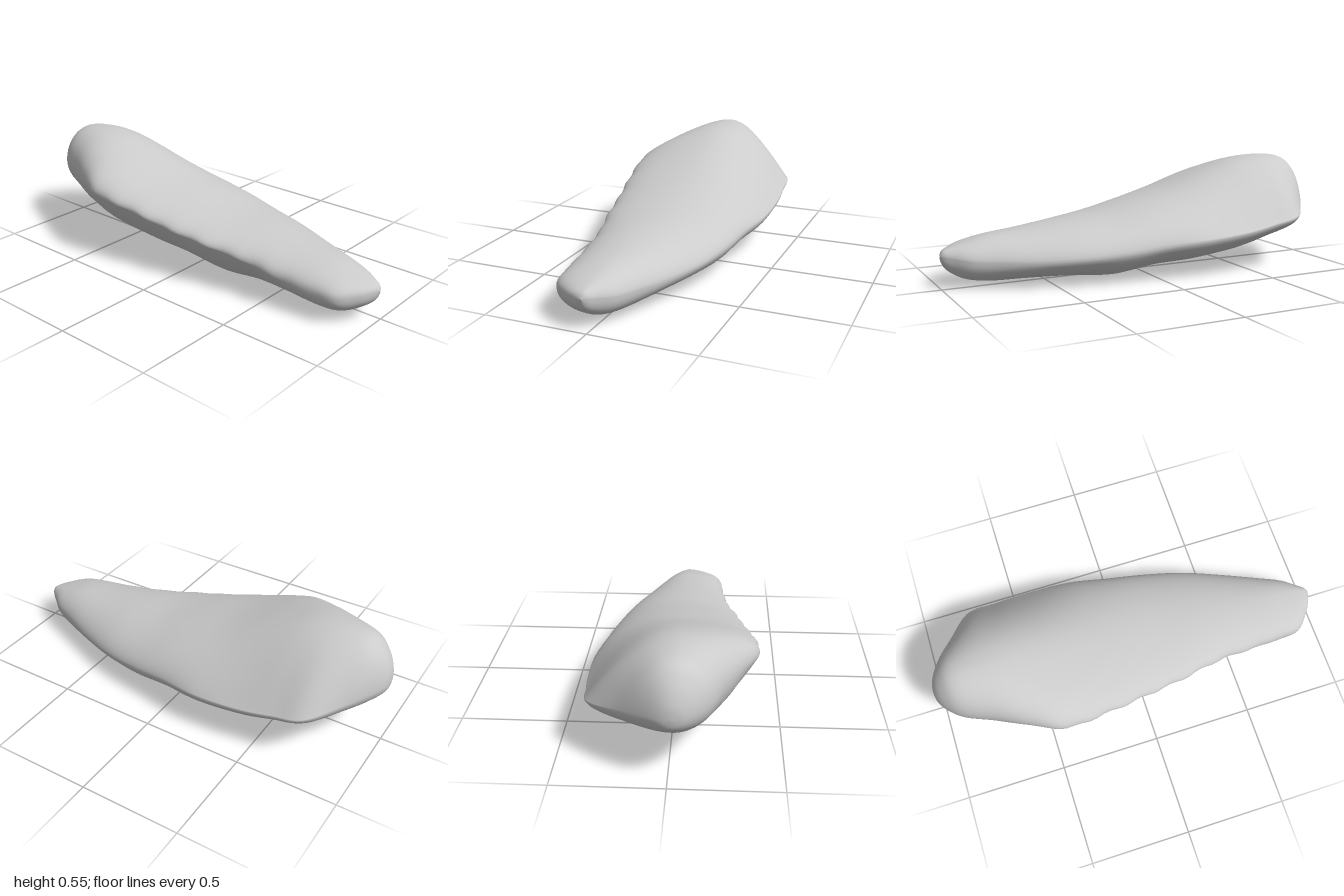
import * as THREE from 'three';

const { lerp, clamp, smoothstep } = THREE.MathUtils;

// Stations along the body: x, top y, bottom y, front z, back z, front rim y, back rim y
const STATIONS = [
  [-1.0, 0.335, 0.335, 0.02, 0.02, 0.335, 0.335],
  [-0.99, 0.4, 0.288, 0.075, -0.035, 0.34, 0.33],
  [-0.95, 0.48, 0.248, 0.135, -0.11, 0.35, 0.32],
  [-0.88, 0.54, 0.21, 0.192, -0.21, 0.36, 0.3],
  [-0.75, 0.555, 0.165, 0.25, -0.36, 0.37, 0.265],
  [-0.6, 0.54, 0.12, 0.325, -0.385, 0.37, 0.24],
  [-0.43, 0.49, 0.075, 0.395, -0.4, 0.355, 0.215],
  [-0.2, 0.41, 0.045, 0.37, -0.4, 0.315, 0.195],
  [0.0, 0.36, 0.033, 0.335, -0.365, 0.27, 0.178],
  [0.2, 0.315, 0.003, 0.3, -0.335, 0.235, 0.155],
  [0.4, 0.288, 0.02, 0.255, -0.29, 0.2, 0.14],
  [0.6, 0.26, 0.025, 0.235, -0.215, 0.165, 0.132],
  [0.77, 0.24, 0.024, 0.222, -0.14, 0.145, 0.135],
  [0.88, 0.215, 0.04, 0.205, -0.09, 0.14, 0.14],
  [0.95, 0.195, 0.075, 0.13, -0.035, 0.145, 0.15],
  [0.985, 0.18, 0.11, 0.07, -0.005, 0.15, 0.155],
  [1.0, 0.155, 0.155, 0.02, 0.02, 0.155, 0.155],
];
const STEPS = 6; // rings between two stations
const SIDES = 48;
const RIDGE_Z = 0.02; // the crest and keel run along this line

// Catmull-Rom blend of whole stations
function stationAt(t) {
  const last = STATIONS.length - 1;
  const i = Math.min(Math.floor(t), last - 1);
  const f = t - i;
  const [a, b, c, d] = [i - 1, i, i + 1, i + 2].map((k) => STATIONS[clamp(k, 0, last)]);
  return b.map((p, k) => p + 0.5 * f * (c[k] - a[k]
    + f * (2 * a[k] - 5 * p + 4 * c[k] - d[k] + f * (3 * (p - c[k]) + d[k] - a[k]))));
}

// Sharpness of one quarter of the section: 1 is an ellipse, 2 a wedge
function sharpness(x, isTop, isFront) {
  const nose = smoothstep(x, 0.3, 0.95);
  if (isTop && isFront) return lerp(1, 0.85, nose);
  if (isTop) return lerp(1.2, 2.15, smoothstep(x, -1, -0.75) * (1 - smoothstep(x, -0.5, 0.1)));
  if (isFront) return lerp(lerp(1, 1.9, smoothstep(x, -0.75, -0.35)), 0.85, nose);
  return lerp(1.15, 0.85, nose);
}

// Small scallops that run along the front rim
function scallop(x) {
  const fade = smoothstep(x, -0.55, -0.35) * (1 - smoothstep(x, 0.45, 0.8));
  return 0.005 * fade * Math.sin((x * Math.PI * 2) / 0.17);
}

function bodyGeometry() {
  const positions = [];
  const index = [];
  const rings = (STATIONS.length - 1) * STEPS;
  for (let i = 0; i <= rings; i++) {
    const [x, top, bottom, front, back, frontY, backY] = stationAt(i / STEPS);
    for (let j = 0; j < SIDES; j++) {
      const angle = (j / SIDES) * Math.PI * 2;
      const c = Math.cos(angle);
      const s = Math.sin(angle);
      const isFront = c > 0;
      const isTop = s > 0;
      const rise = Math.abs(s) ** sharpness(x, isTop, isFront);
      const y = lerp(isFront ? frontY : backY, isTop ? top : bottom, rise);
      const z = lerp(RIDGE_Z, isFront ? front : back, Math.abs(c));
      positions.push(x, y, z + scallop(x) * Math.max(0, c) ** 6);
      if (i < rings) {
        const a = i * SIDES + j;
        const b = i * SIDES + ((j + 1) % SIDES);
        index.push(a, a + SIDES, b, b, a + SIDES, b + SIDES);
      }
    }
  }
  const geometry = new THREE.BufferGeometry();
  geometry.setAttribute('position', new THREE.Float32BufferAttribute(positions, 3));
  geometry.setIndex(index);
  geometry.computeVertexNormals();
  // The end rings shrink to points, so their normals lie along the body
  for (let j = 0; j < SIDES; j++) {
    geometry.attributes.normal.setXYZ(j, -1, 0, 0);
    geometry.attributes.normal.setXYZ(rings * SIDES + j, 1, 0, 0);
  }
  return geometry;
}

export function createModel() {
  const group = new THREE.Group();
  const body = new THREE.Mesh(bodyGeometry(), new THREE.MeshStandardMaterial({ color: 0xcccccc }));
  body.name = 'body';
  group.add(body);
  return group;
}
